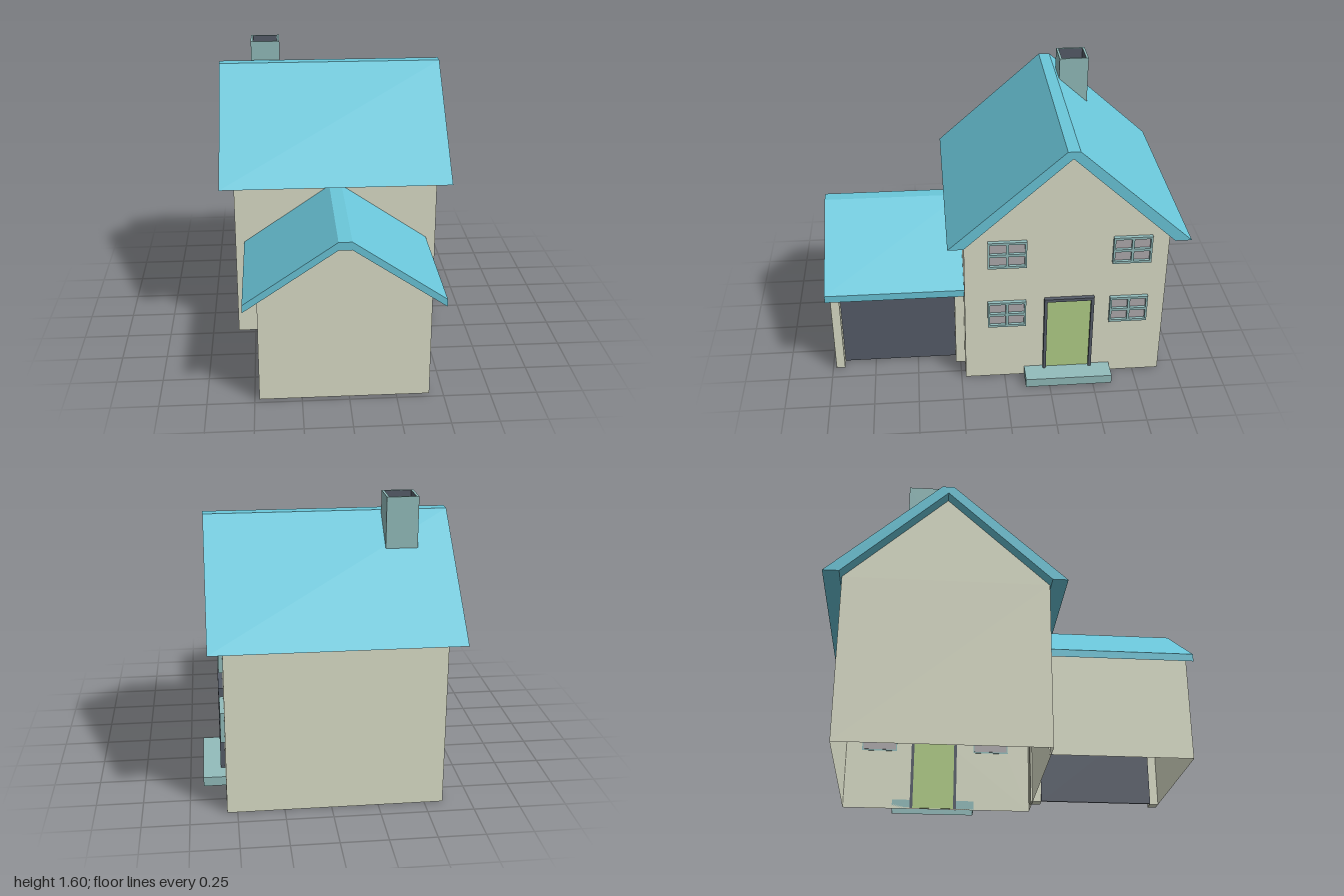
import * as THREE from 'three';

const mat = (color, side = THREE.FrontSide) =>
  new THREE.MeshStandardMaterial({ color, side, flatShading: true });
const wallMat = mat(0xdcdfc9, THREE.DoubleSide);
const roofMat = mat(0x6bc7da);
const trimMat = mat(0x93bdbc, THREE.DoubleSide);
const darkMat = mat(0x565d69);
const greenMat = mat(0xb3d088);
const paneMat = mat(0xb0acaf);

function add(group, name, geometry, material) {
  const mesh = new THREE.Mesh(geometry, material);
  mesh.name = name;
  group.add(mesh);
  return mesh;
}

// box given by its lower and upper corners
function box(group, name, [x0, y0, z0], [x1, y1, z1], material) {
  const mesh = add(group, name, new THREE.BoxGeometry(x1 - x0, y1 - y0, z1 - z0), material);
  mesh.position.set((x0 + x1) / 2, (y0 + y1) / 2, (z0 + z1) / 2);
  return mesh;
}

const shapeOf = (pts) => new THREE.Shape(pts.map(([a, b]) => new THREE.Vector2(a, b)));
const rect = (a0, b0, a1, b1) => [[a0, b0], [a1, b0], [a1, b1], [a0, b1]];
const extrude = (shape, depth) => new THREE.ExtrudeGeometry(shape, { depth, bevelEnabled: false });

// extrude a (-z, y) shape along x
function extrudeX(group, name, shape, x0, x1, material) {
  const mesh = add(group, name, extrude(shape, x1 - x0), material);
  mesh.rotation.y = Math.PI / 2;
  mesh.position.x = x0;
  return mesh;
}

// flat convex polygon, corners anticlockwise from outside
function panel(group, name, pts, material) {
  const pos = [];
  for (let i = 1; i < pts.length - 1; i++) pos.push(...pts[0], ...pts[i], ...pts[i + 1]);
  const geometry = new THREE.BufferGeometry();
  geometry.setAttribute('position', new THREE.Float32BufferAttribute(pos, 3));
  geometry.computeVertexNormals();
  return add(group, name, geometry, material);
}

function house() {
  const g = new THREE.Group();
  g.name = 'house';
  const x0 = -0.6, x1 = 0.555, zf = 0.225, zb = -0.9, top = 0.937;
  // walls, open underneath
  const gable = (x) => [[x, 0, zf], [x, 0, zb], [x, top, zb], [x, 1.45, -0.34], [x, top, zf]];
  panel(g, 'rightGableWall', gable(x1), wallMat);
  panel(g, 'leftGableWall', gable(x0).reverse(), wallMat);
  panel(g, 'frontWall', [[x0, 0, zf], [x1, 0, zf], [x1, top, zf], [x0, top, zf]], wallMat);
  panel(g, 'backWall', [[x1, 0, zb], [x0, 0, zb], [x0, top, zb], [x1, top, zb]], wallMat);
  // roof with a narrow flat ridge
  extrudeX(g, 'mainRoof', shapeOf([
    [-0.315, 0.93], [-0.23, 0.93], [0.34, 1.45], [0.91, 0.93],
    [1.0, 0.93], [0.375, 1.49], [0.31, 1.49],
  ]), -0.678, 0.632, roofMat);
  return g;
}

function chimney() {
  const g = new THREE.Group();
  g.name = 'chimney';
  const stack = shapeOf(rect(-0.49, 0.39, -0.32, 0.56));
  stack.holes.push(shapeOf(rect(-0.477, 0.403, -0.333, 0.547)));
  const mesh = add(g, 'chimneyStack', extrude(stack, 0.31), trimMat);
  mesh.rotation.x = -Math.PI / 2;
  mesh.position.y = 1.29;
  // dark lining, seen from inside
  box(g, 'chimneyFlue', [-0.476, 1.47, -0.546], [-0.334, 1.599, -0.404],
    mat(0x565d69, THREE.BackSide));
  return g;
}

function garage() {
  const g = new THREE.Group();
  g.name = 'garage';
  const x0 = -0.475, x1 = 0.425, xi = 0.362, zb = 0.215, zf = 0.98, y0 = 0.007, top = 0.588;
  panel(g, 'garageFrontWall', [[x0, y0, zf], [x1, y0, zf], [x1, top, zf],
    [0.01, 0.868, zf], [-0.06, 0.868, zf], [x0, top, zf]], wallMat);
  panel(g, 'garageLeftWall', [[x0, y0, zb], [x0, y0, zf], [x0, top, zf], [x0, top, zb]], wallMat);
  // posts and lintel around the recessed door
  box(g, 'garageFrontPost', [xi, y0, 0.93], [x1, top, zf - 0.001], wallMat);
  box(g, 'garageBackPost', [xi, y0, zb], [x1, top, 0.277], wallMat);
  box(g, 'garageLintel', [xi, 0.54, 0.277], [x1, top, 0.93], wallMat);
  box(g, 'garageDoor', [xi - 0.01, y0, 0.277], [xi, 0.54, 0.93], darkMat);
  // roof with vertical eave cuts
  const roof = add(g, 'garageRoof', extrude(shapeOf([
    [-0.55, 0.533], [-0.06, 0.866], [0.01, 0.866], [0.5, 0.533],
    [0.5, 0.575], [0.01, 0.91], [-0.06, 0.91], [-0.55, 0.575],
  ]), 0.785), roofMat);
  roof.position.z = 0.215;
  return g;
}

// four-pane window on the right wall, centred at z and y
function gableWindow(z, y) {
  const g = new THREE.Group();
  g.name = 'window';
  const w = 0.107, h = 0.083;
  const frame = shapeOf(rect(-w, -h, w, h));
  for (const sx of [-1, 1]) for (const sy of [-1, 1]) {
    frame.holes.push(shapeOf(rect(sx * 0.007, sy * 0.008, sx * 0.096, sy * 0.069)));
  }
  extrudeX(g, 'windowFrame', frame, 0.552, 0.577, trimMat);
  box(g, 'windowPanes', [0.55, -0.075, -0.1], [0.56, 0.075, 0.1], paneMat);
  g.position.set(0, y, z);
  return g;
}

function entrance() {
  const g = new THREE.Group();
  g.name = 'entrance';
  // door frame and door
  extrudeX(g, 'doorFrame', shapeOf([
    [0.22, 0.005], [0.237, 0.005], [0.237, 0.522], [0.483, 0.522],
    [0.483, 0.005], [0.5, 0.005], [0.5, 0.54], [0.22, 0.54],
  ]), 0.552, 0.58, darkMat);
  box(g, 'frontDoor', [0.55, 0.005, -0.483], [0.563, 0.522, -0.237], greenMat);
  // doorstep, hollow underneath
  const step = box(g, 'doorstep', [0.555, 0.003, -0.607], [0.677, 0.056, -0.113], trimMat);
  const index = Array.from(step.geometry.index.array);
  index.splice(18, 6);
  step.geometry.setIndex(index);
  step.geometry.clearGroups();
  return g;
}

export function createModel() {
  const model = new THREE.Group();
  model.name = 'houseWithGarage';
  model.add(house(), chimney(), garage(), entrance());
  for (const z of [-0.01, -0.697]) for (const y of [0.448, 0.843]) model.add(gableWindow(z, y));
  return model;
}
